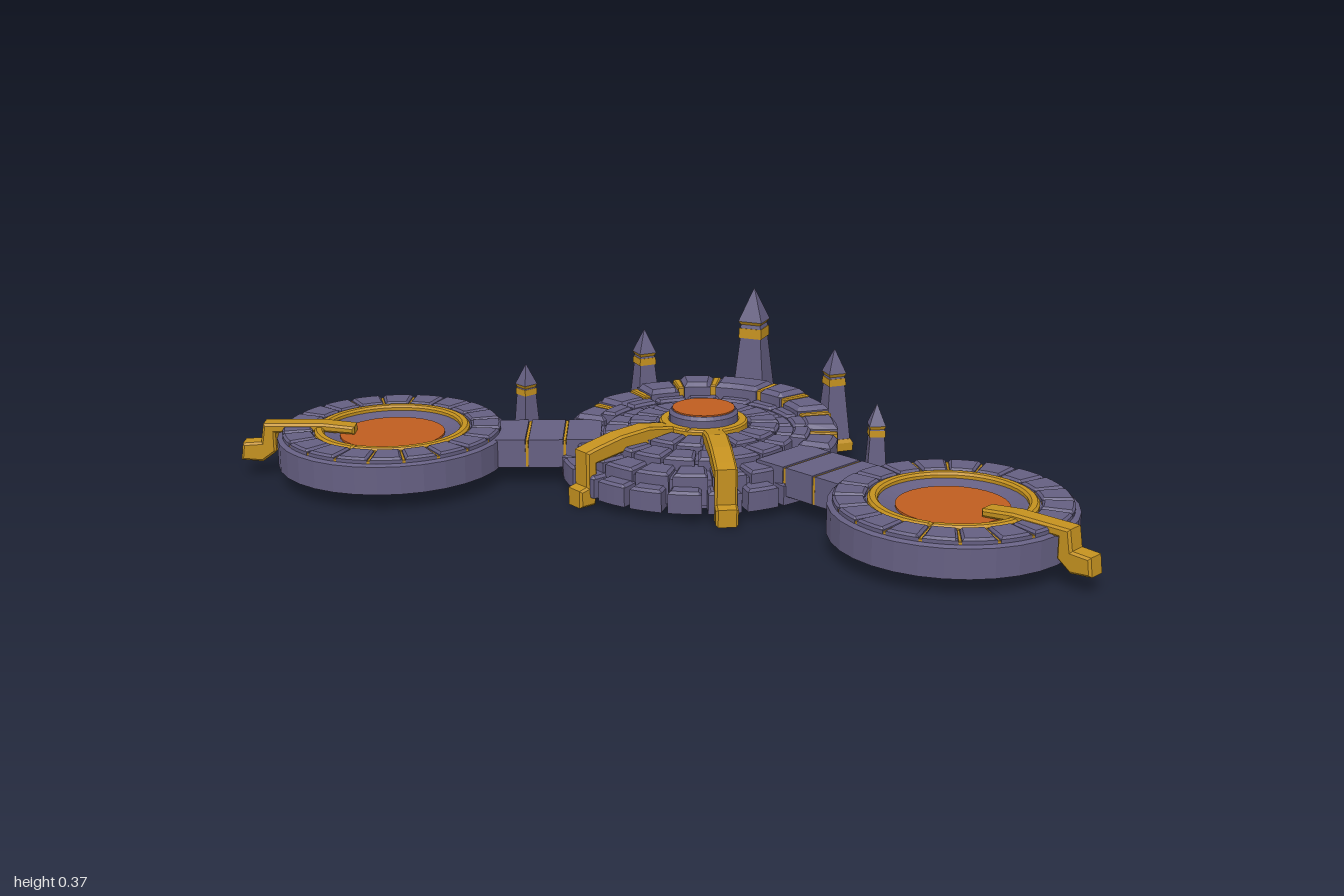
import * as THREE from 'three';
import { mergeGeometries } from 'three/addons/utils/BufferGeometryUtils.js';

const mat = (name, color) => {
  const m = new THREE.MeshStandardMaterial({ color, flatShading: true });
  m.name = name;
  return m;
};
const RAD = Math.PI / 180;

// Bevelled ring-sector block; angle 0 points to +z, 90 to +x
function sector(r0, r1, a0, a1, y0, y1, b = 0.006, n = 3) {
  const profile = [[r0, y0], [r0, y1 - b], [r0 + b, y1], [r1 - b, y1], [r1, y1 - b], [r1, y0]];
  const da = b / ((r0 + r1) / 2);
  a0 *= RAD; a1 *= RAD;
  const rows = [[a0, y0], [a0, y1 - b]];
  for (let i = 0; i <= n; i++) rows.push([a0 + da + (a1 - a0 - 2 * da) * i / n, y1]);
  rows.push([a1, y1 - b], [a1, y0]);
  const pos = [], idx = [], k = profile.length;
  rows.forEach(([a, top]) => profile.forEach(([r, y]) =>
    pos.push(r * Math.sin(a), Math.min(y, top), r * Math.cos(a))));
  for (let v = 0; v < rows.length - 1; v++) for (let u = 0; u < k; u++) {
    const p = v * k + u, q = v * k + (u + 1) % k;
    idx.push(p, q, p + k, q, q + k, p + k);
  }
  const g = new THREE.BufferGeometry();
  g.setAttribute('position', new THREE.Float32BufferAttribute(pos, 3));
  g.setIndex(idx);
  const flat = g.toNonIndexed();
  flat.computeVertexNormals();
  return flat;
}

// Evenly spaced blocks between two angles, with gaps in degrees
function tiles(count, from, to, gap, r0, r1, y0, y1, b) {
  const step = (to - from) / count, list = [];
  for (let i = 0; i < count; i++)
    list.push(sector(r0, r1, from + i * step + gap / 2, from + (i + 1) * step - gap / 2, y0, y1, b));
  return mergeGeometries(list);
}

function lathe(points, sides) {
  return new THREE.LatheGeometry(points.map(p => new THREE.Vector2(...p)), sides);
}

export function createModel() {
  const stone = mat('violet stone', 0x655f82);
  const gold = mat('gold trim', 0xc4911f);
  const glow = mat('orange glow', 0xbf5d20);
  const model = new THREE.Group();
  model.name = 'platform';

  const add = (parent, name, geo, material, x = 0, y = 0, z = 0) => {
    const m = new THREE.Mesh(geo, material);
    m.name = name;
    m.position.set(x, y, z);
    parent.add(m);
    return m;
  };
  const group = (name, x, z) => {
    const g = new THREE.Group();
    g.name = name;
    g.position.set(x, 0, z);
    model.add(g);
    return g;
  };

  // Gold claw: side outline (radius, height) extruded and turned to an angle
  const claw = (parent, name, outline, width, angle, z = 0) => {
    const b = 0.005;
    const shape = new THREE.Shape(outline.map(p => new THREE.Vector2(...p)));
    const geo = new THREE.ExtrudeGeometry(shape, {
      depth: width - 2 * b, bevelEnabled: true, bevelThickness: b, bevelSize: b, bevelOffset: -b, bevelSegments: 1,
    });
    geo.translate(0, 0, -width / 2 + b);
    add(parent, name, geo, gold, 0, 0, z).rotation.y = angle * RAD - Math.PI / 2;
  };

  // Central platform
  const centre = group('centralPlatform', 0, -0.055);
  add(centre, 'core', lathe([[0, 0.02], [0.273, 0.02], [0.273, 0.085], [0.2, 0.09], [0.2, 0.105], [0, 0.105]], 40), stone);
  add(centre, 'frontLowerStep', tiles(9, -72, 72, 2.5, 0.24, 0.318, 0.022, 0.072), stone);
  add(centre, 'frontMiddleStep', tiles(9, -80, 80, 2, 0.205, 0.282, 0.03, 0.1), stone);
  add(centre, 'terrace', tiles(18, 0, 360, 2, 0.155, 0.222, 0.08, 0.118), stone);
  add(centre, 'rearTerrace', tiles(9, 92, 268, 1.5, 0.215, 0.255, 0.07, 0.126), stone);

  // Rear wall, rising towards the back, with gold bands in its gaps
  const cuts = [88, 107, 128, 148, 166], wall = [], bands = [];
  const rise = a => 0.115 + 0.042 * Math.min(1, Math.max(0, (a - 95) / 60));
  cuts.forEach((a, i) => {
    const next = i < 4 ? cuts[i + 1] : 194, top = rise((a + next) / 2);
    wall.push(sector(0.24, 0.318, a + 1.5, next - 1.5, 0.025, top, 0.01));
    if (i < 4) wall.push(sector(0.24, 0.318, 360 - next + 1.5, 360 - a - 1.5, 0.025, top, 0.01));
    if (i > 0) for (const c of [a, 360 - a])
      bands.push(sector(0.245, 0.317, c - 1.7, c + 1.7, 0.028, rise(a) - 0.006, 0.003, 1));
  });
  add(centre, 'rearWall', mergeGeometries(wall), stone);
  add(centre, 'wallBands', mergeGeometries(bands), gold);

  // Hub with glowing cap
  const hub = group('hub', 0, -0.08);
  add(hub, 'innerTiles', tiles(16, 0, 360, 2, 0.105, 0.175, 0.09, 0.128), stone);
  add(hub, 'hubRing', sector(0.078, 0.102, 0, 360, 0.1, 0.136, 0.004, 32), gold);
  add(hub, 'hubDrum', lathe([[0, 0.1], [0.08, 0.1], [0.08, 0.152], [0.074, 0.16], [0, 0.16]], 28), stone);
  add(hub, 'hubGlow', new THREE.CylinderGeometry(0.072, 0.072, 0.004, 28), glow, 0, 0.161, 0);

  // Front claws gripping the central platform
  for (const s of [-1, 1]) {
    claw(model, 'frontClaw', [[0.11, 0.115], [0.12, 0.137], [0.19, 0.149], [0.27, 0.145], [0.34, 0.132], [0.368, 0.125],
      [0.368, 0.045], [0.388, 0.04], [0.388, 0], [0.345, 0], [0.34, 0.03], [0.34, 0.095], [0.27, 0.105]], 0.05, s * 28, -0.105);
  }

  // Spire: gold foot, tapering shaft, gold collars and pointed roof
  const spire = (name, x, z, half, neck, top, turn, foot) => {
    const g = group(name, x, z);
    g.rotation.y = turn * RAD;
    const y0 = 0.028, collar = y0 + (top - y0) * 0.65, roof = y0 + (top - y0) * 0.77;
    const block = (part, r0, r1, a, b, m) => {
      const geo = new THREE.CylinderGeometry(r1 * Math.SQRT2, r0 * Math.SQRT2, b - a, 4);
      geo.rotateY(Math.PI / 4);
      add(g, part, geo, m, 0, (a + b) / 2, 0);
    };
    block('foot', half, half, y0, y0 + foot * 0.7, gold);
    block('footBevel', half, half * 0.88, y0 + foot * 0.7, y0 + foot, gold);
    block('shaft', half * 0.86, neck, y0 + foot * 0.8, collar, stone);
    block('collar', neck * 1.12, neck * 1.08, collar, collar + (top - y0) * 0.07, gold);
    block('neck', neck * 1.02, neck * 0.9, collar + (top - y0) * 0.07, roof - 0.006, stone);
    block('roofTrim', neck * 0.95, neck * 1.15, roof - 0.008, roof, gold);
    block('roof', neck * 1.15, 0.0008, roof, top, stone);
  };
  spire('rearSpire', 0, -0.412, 0.052, 0.026, 0.37, 0, 0.038);
  for (const s of [-1, 1]) {
    spire('middleSpire', s * 0.243, -0.3, 0.036, 0.019, 0.27, s * 42, 0.028);
    spire('smallSpire', s * 0.43, -0.03, 0.028, 0.016, 0.232, s * 25, 0.01);
  }

  // Side discs, bridges and outer claws
  for (const s of [-1, 1]) {
    const disc = group(s > 0 ? 'leftDisc' : 'rightDisc', s * 0.665, 0.193);
    add(disc, 'discBase', lathe([[0, 0.04], [0.262, 0.04], [0.262, 0.104], [0.255, 0.108], [0.18, 0.108],
      [0.15, 0.108], [0.122, 0.098], [0, 0.094]], 32), stone);
    add(disc, 'discTiles', tiles(20, 0, 360, 1.6, 0.182, 0.25, 0.1, 0.121, 0.005), stone);
    const ticks = [];
    for (let i = 0; i < 20; i++)
      ticks.push(sector(0.182, 0.249, i * 18 - 0.8, i * 18 + 0.8, 0.1, 0.114, 0.001, 1));
    add(disc, 'tileSeams', mergeGeometries(ticks), gold);
    add(disc, 'discRing', sector(0.156, 0.178, 0, 360, 0.1, 0.12, 0.005, 40), gold);
    add(disc, 'discGlow', new THREE.CylinderGeometry(0.12, 0.12, 0.005, 36), glow, 0, 0.1, 0);
    claw(disc, 'outerClaw', [[0.085, 0.102], [0.085, 0.12], [0.16, 0.128], [0.295, 0.127], [0.302, 0.083], [0.345, 0.08],
      [0.35, 0.04], [0.3, 0.036], [0.268, 0.06], [0.268, 0.105], [0.16, 0.108]], 0.046, s * 69);

    // Bridge runs along its own x axis
    const bridge = group('bridge', s * 0.335, 0.055);
    bridge.rotation.y = -s * 23 * RAD;
    add(bridge, 'bridgeDeck', new THREE.BoxGeometry(0.28, 0.055, 0.15), stone, 0, 0.068, 0);
    for (let i = -1; i <= 1; i++) {
      add(bridge, 'bridgeSlab', new THREE.BoxGeometry(0.078, 0.065, 0.156), stone, i * 0.086, 0.075, 0);
      add(bridge, 'bridgeBand', new THREE.BoxGeometry(0.006, 0.062, 0.154), gold, s * (i * 0.086 + 0.043), 0.074, 0);
    }
  }
  return model;
}
